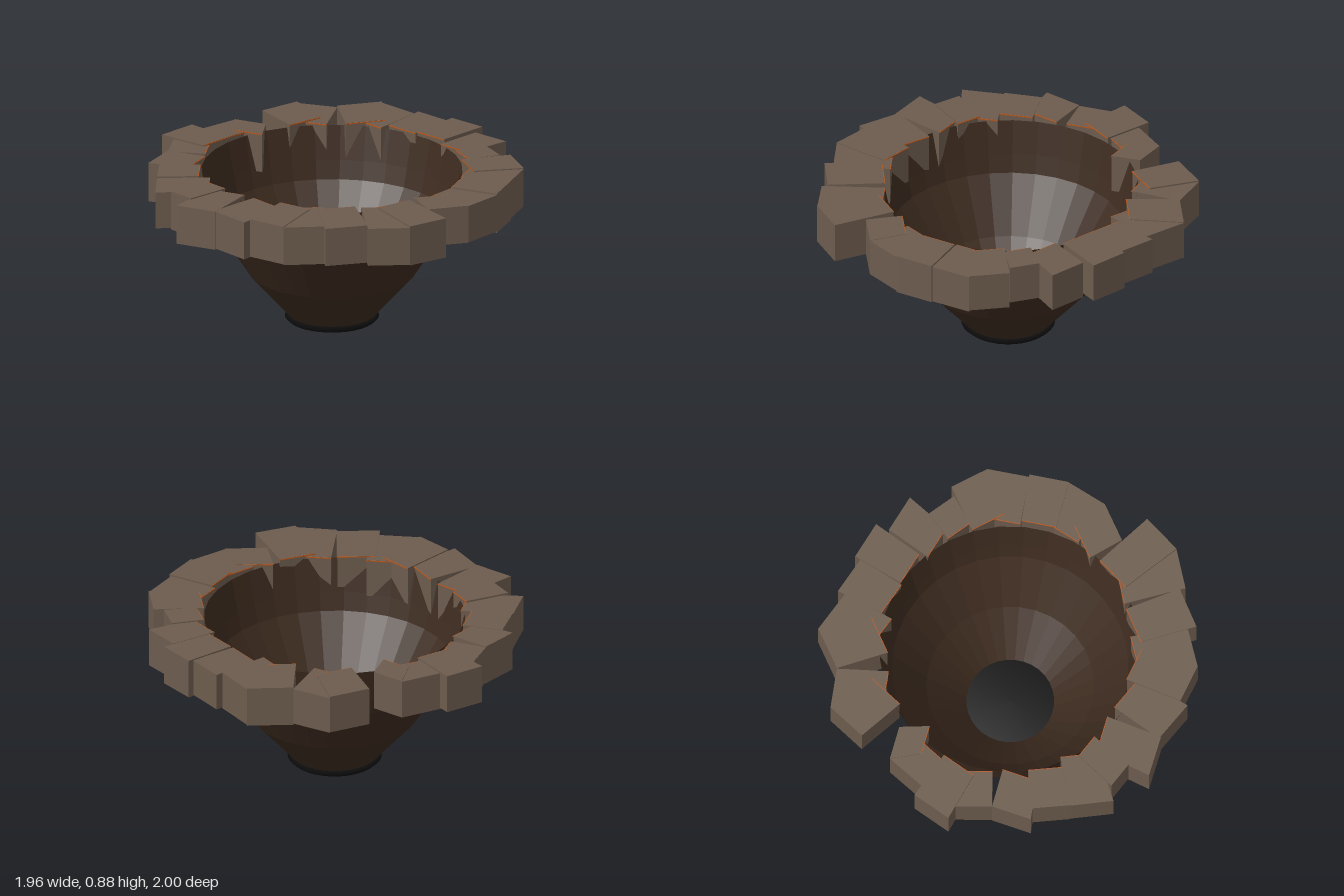
import * as THREE from 'three';

// Plan outline of each stone's outer edge: x1, z1, x2, z2 in hundredths, going round the ring
const STONES = [
  [0, 100, 22, 92], [22, 97, 42, 86], [43, 89, 64, 82], [64, 82, 79, 65], [66, 53, 85, 42],
  [85, 42, 95, 22], [95, 22, 97, 1], [96, 1, 98, -21], [98, -21, 86, -39], [81, -37, 70, -49],
  [78, -60, 59, -69], [61, -76, 42, -85], [41, -82, 22, -92], [21, -88, 0, -100],
  [0, -100, -21, -88], [-21, -88, -43, -89], [-43, -89, -57, -71], [-50, -52, -68, -55],
  [-68, -55, -82, -36], [-87, -40, -98, -21], [-91, -19, -89, 1], [-89, 1, -94, 22],
  [-88, 22, -84, 42], [-84, 42, -79, 64], [-71, 62, -58, 70], [-63, 81, -41, 85],
  [-42, 84, -22, 97], [-20, 93, 0, 100],
];

const stoneMat = new THREE.MeshStandardMaterial({ color: 0x6d5c4e, flatShading: true });
stoneMat.name = 'stone';
const bowlMat = new THREE.MeshStandardMaterial({ color: 0x3d2b1f, flatShading: true, side: THREE.DoubleSide });
bowlMat.name = 'dark brown';
const baseMat = new THREE.MeshStandardMaterial({ color: 0x0d0d0d });
baseMat.name = 'black';
const emberMat = new THREE.MeshStandardMaterial({ color: 0xb5561c });
emberMat.name = 'ember orange';

// Upright prism over a plan polygon of [x, z] corners
function prism(corners, y0, y1, material, name) {
  const shape = new THREE.Shape(corners.map(([x, z]) => new THREE.Vector2(x, -z)));
  const geo = new THREE.ExtrudeGeometry(shape, { depth: y1 - y0, bevelEnabled: false });
  geo.rotateX(-Math.PI / 2).translate(0, y0, 0);
  const mesh = new THREE.Mesh(geo, material);
  mesh.name = name;
  return mesh;
}

function lathe(profile, segments, material, name) {
  const points = profile.map(([r, y]) => new THREE.Vector2(r, y));
  const mesh = new THREE.Mesh(new THREE.LatheGeometry(points, segments), material);
  mesh.position.z = 0.012;
  mesh.name = name;
  return mesh;
}

export function createModel() {
  const model = new THREE.Group();
  model.name = 'stoneRimmedBowl';

  // Open funnel-shaped bowl
  model.add(lathe([[0.222, 0.055], [0.44, 0.3], [0.62, 0.58], [0.645, 0.68], [0.685, 0.86]],
    32, bowlMat, 'bowl'));

  // Rounded black foot, closing the bottom of the bowl
  model.add(lathe([[0, 0], [0.1, 0.004], [0.18, 0.016], [0.23, 0.032], [0.247, 0.048], [0.238, 0.064], [0, 0.066]],
    32, baseMat, 'foot'));

  // Ring of uneven stones, each with a thin ember line along its inner top edge
  const ring = new THREE.Group();
  ring.name = 'stoneRing';
  STONES.forEach((row, i) => {
    const [x1, z1, x2, z2] = row.map((v) => v / 100);
    const a = new THREE.Vector2(x1, z1);
    const b = new THREE.Vector2(x2, z2);
    const mid = a.clone().add(b).multiplyScalar(0.5);
    const along = b.clone().sub(a);
    const half = along.length() / 2;
    along.normalize();
    // Inward normal, leaning a little towards the centre
    const inward = new THREE.Vector2(along.y, -along.x);
    if (inward.dot(mid) > 0) inward.negate();
    inward.addScaledVector(mid, -0.6 / mid.length()).normalize();
    const innerRadius = 0.665 + 0.045 * (mid.x / mid.length()) ** 2;
    const depth = Math.max(0.16, mid.length() - innerRadius);
    const at = (s, d) => {
      const p = mid.clone().addScaledVector(along, s).addScaledVector(inward, d);
      return [p.x, p.y];
    };
    const inner = half * 0.88;
    const top = 0.879 + 0.005 * Math.sin(i * 2.4);
    const bottom = 0.67 + 0.005 * Math.sin(i * 1.7);
    ring.add(prism([at(-half, 0), at(half, 0), at(inner, depth), at(-inner, depth)],
      bottom, top, stoneMat, 'stone'));
    ring.add(prism([at(-inner, depth), at(inner, depth), at(inner, depth + 0.004), at(-inner, depth + 0.004)],
      top - 0.006, top - 0.001, emberMat, 'emberLine'));
  });
  model.add(ring);
  return model;
}
